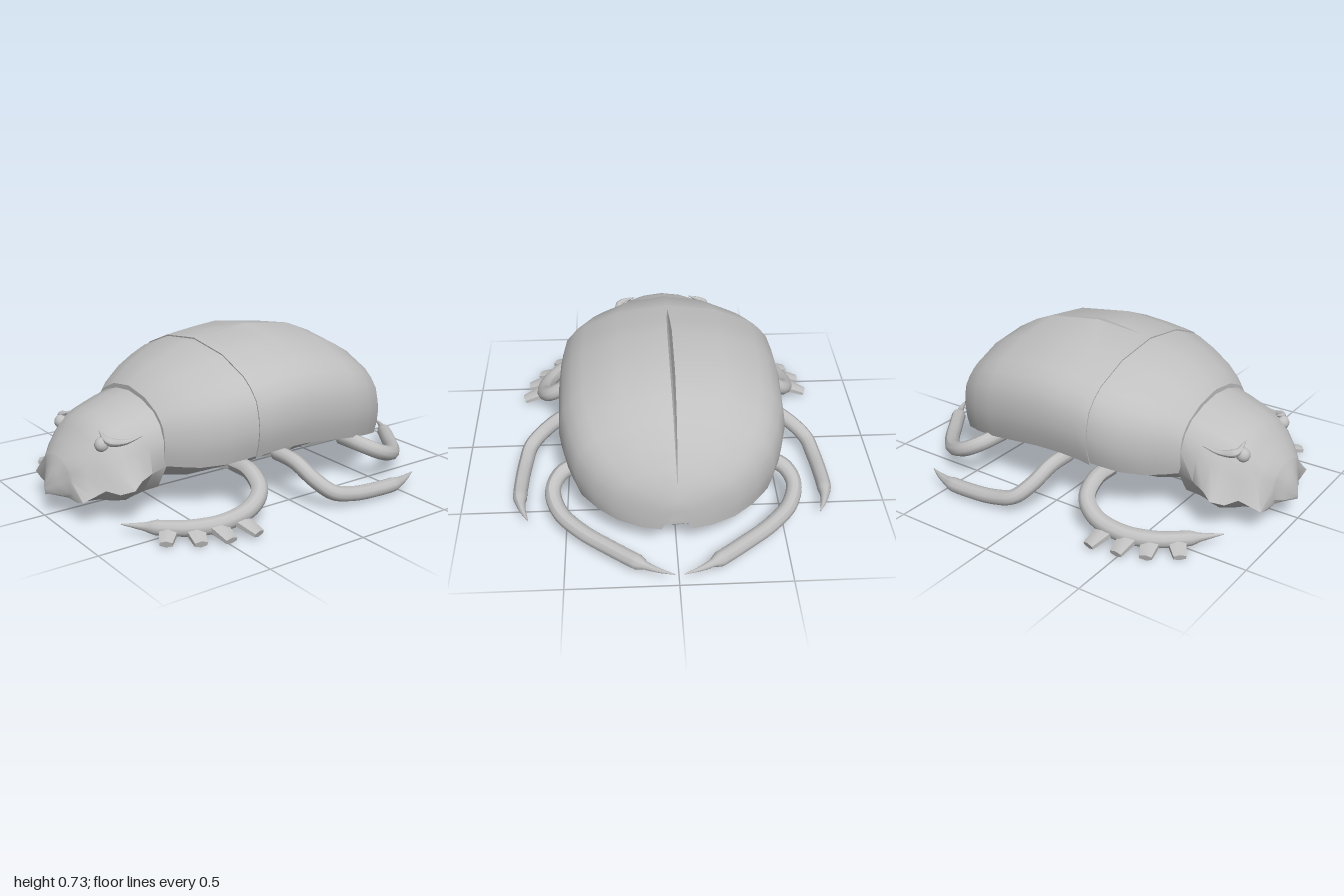
import * as THREE from 'three';
import { toCreasedNormals } from 'three/addons/utils/BufferGeometryUtils.js';

const shellGrey = new THREE.MeshStandardMaterial({ color: 0xc0c0c0, side: THREE.DoubleSide });
shellGrey.name = 'shellGrey';

function addMesh(parent, name, geometry) {
  const mesh = new THREE.Mesh(geometry, shellGrey);
  mesh.name = name;
  parent.add(mesh);
  return mesh;
}

// Skin between cross-sections listed from front to back
function loft(sections, crease = 0.6) {
  const n = sections[0].length, index = [];
  for (let s = 0; s < sections.length - 1; s++) {
    for (let i = 0; i < n - 1; i++) {
      const a = s * n + i, b = a + n;
      index.push(a, b, a + 1, a + 1, b, b + 1);
    }
  }
  const geo = new THREE.BufferGeometry();
  geo.setAttribute('position', new THREE.Float32BufferAttribute(sections.flat(2), 3));
  geo.setIndex(index);
  return toCreasedNormals(geo, crease);
}

// Mirror half a section (given from the +x rim to the middle)
const mirror = half => [...half, ...half.slice(0, -1).reverse().map(([x, y, z]) => [-x, y, z])];

// Every point of a section drawn in to one centre, for closing an end
const pinch = (section, x, y, z) => section.map(() => [x, y, z]);

// Arch profile: fraction of half-width, fraction of height
const ARCH = [[0.95, 0], [0.985, 0.14], [1, 0.3], [0.985, 0.44], [0.95, 0.58], [0.87, 0.69], [0.77, 0.78], [0.45, 0.93]];
const archPoints = (w, bottom, top, z) => ARCH.map(([x, y]) => [x * w, bottom + y * (top - bottom), z]);

// Wing cases, with a narrow groove along the middle
function wingCases() {
  // z, half-width, bottom, top, groove half-width
  const stations = [
    [0.185, 0.49, 0.28, 0.68, 0], [0.19, 0.522, 0.26, 0.715, 0], [0.14, 0.525, 0.27, 0.722, 0],
    [0.03, 0.53, 0.278, 0.735, 0.007], [-0.1, 0.532, 0.275, 0.748, 0.011], [-0.38, 0.522, 0.24, 0.71, 0.011],
    [-0.5, 0.49, 0.22, 0.66, 0.009], [-0.6, 0.445, 0.2, 0.602, 0.007], [-0.68, 0.365, 0.182, 0.525, 0.005],
    [-0.74, 0.275, 0.167, 0.45, 0.002], [-0.78, 0.165, 0.157, 0.385, 0], [-0.802, 0.075, 0.16, 0.325, 0],
  ];
  const sections = stations.map(([z, w, bottom, top, g]) => mirror([
    ...archPoints(w, bottom, top, z), [g, top, z], [0, top - g * 3, z],
  ]));
  sections.push(pinch(sections[0], 0, 0.27, -0.812));
  return loft(sections);
}

// Shield behind the head, closed at the front
function thoraxShield() {
  const stations = [
    [0.55, 0.308, 0.24, 0.542], [0.5, 0.355, 0.238, 0.585], [0.42, 0.418, 0.235, 0.63],
    [0.32, 0.475, 0.245, 0.67], [0.23, 0.508, 0.262, 0.702], [0.18, 0.517, 0.268, 0.71],
  ];
  const sections = stations.map(([z, w, bottom, top]) => mirror([...archPoints(w, bottom, top, z), [0, top, z]]));
  sections.unshift(pinch(sections[0], 0, 0.25, 0.55));
  return loft(sections);
}

// Belly, made of overlapping bands
function belly() {
  // z, half-width, rim height, lowest height
  const keys = [[0.55, 0.3, 0.26, 0.12], [0.4, 0.41, 0.26, 0.095], [0.2, 0.487, 0.28, 0.085], [-0.05, 0.5, 0.29, 0.09],
    [-0.3, 0.495, 0.27, 0.1], [-0.5, 0.455, 0.235, 0.12], [-0.65, 0.365, 0.205, 0.14], [-0.77, 0.18, 0.175, 0.16]];
  const sections = [];
  const add = ([z, w, rim, low], lift) => {
    const half = [[1, 1], [0.87, 0.72], [0.6, 0.33], [0.3, 0.1], [0, 0]]
      .map(([x, y]) => [-x * (w - lift), low + lift + y * (rim - low), z]);
    sections.push(mirror(half));
  };
  keys.forEach((key, i) => {
    if (i > 1) add(key, 0.014);
    add(key, 0);
  });
  const first = sections[0];
  return loft([pinch(first, 0, 0.26, 0.55), ...sections, pinch(first, 0, 0.18, -0.795)]);
}

// Head, with a toothed rim flaring out at the front
function head() {
  // z, rim half-width, rim height, crown half-width, top
  const stations = [
    [0.99, 0.005, 0.13, 0.004, 0.15], [0.955, 0.08, 0.13, 0.07, 0.235], [0.93, 0.14, 0.15, 0.12, 0.28],
    [0.925, 0.235, 0.135, 0.145, 0.288], [0.88, 0.25, 0.155, 0.195, 0.338], [0.83, 0.27, 0.18, 0.23, 0.395],
    [0.79, 0.325, 0.17, 0.255, 0.437], [0.74, 0.366, 0.19, 0.27, 0.46], [0.69, 0.34, 0.215, 0.28, 0.475],
    [0.62, 0.31, 0.225, 0.29, 0.5], [0.54, 0.3, 0.24, 0.3, 0.522],
  ];
  const crown = [[1, 0.42], [0.9, 0.66], [0.72, 0.83], [0.38, 0.95], [0, 1]];
  const sections = stations.map(([z, rimW, rimY, w, top]) => mirror([
    [0, 0.112, z], [rimW * 0.75, 0.118, z], [rimW, rimY, z],
    ...crown.map(([x, y]) => [x * w, rimY + y * (top - rimY), z]),
  ]));
  sections.unshift(pinch(sections[0], 0, 0.125, 0.992));
  return loft(sections, 0.8);
}

// Round limb along a curve; radii are [position along the curve, radius]
function limb(points, radii) {
  const curve = new THREE.CatmullRomCurve3(points.map(p => new THREE.Vector3(...p)));
  const rows = 48, sides = 10;
  const geo = new THREE.TubeGeometry(curve, rows, 1, sides);
  const pos = geo.attributes.position, v = new THREE.Vector3();
  for (let i = 0; i < pos.count; i++) {
    const u = Math.floor(i / (sides + 1)) / rows;
    const k = Math.max(1, radii.findIndex(r => r[0] >= u));
    const [u0, r0] = radii[k - 1], [u1, r1] = radii[k];
    const r = THREE.MathUtils.mapLinear(u, u0, u1, r0, r1);
    const c = curve.getPointAt(u);
    v.fromBufferAttribute(pos, i).sub(c).multiplyScalar(r).add(c);
    pos.setXYZ(i, v.x, v.y, v.z);
  }
  geo.computeVertexNormals();
  return geo;
}

// Flat digging spike with a broad root and a blunt outer edge
function addSpike(parent, from, to) {
  const a = new THREE.Vector3(...from), b = new THREE.Vector3(...to);
  const dir = b.clone().sub(a);
  const geo = new THREE.CylinderGeometry(0.032, 0.05, dir.length(), 6).scale(1, 1, 0.5);
  const spike = addMesh(parent, 'legSpike', toCreasedNormals(geo, 0.6));
  const y = dir.normalize();
  const x = new THREE.Vector3().crossVectors(y, new THREE.Vector3(0, 1, 0)).normalize();
  spike.quaternion.setFromRotationMatrix(new THREE.Matrix4().makeBasis(x, y, x.clone().cross(y)));
  spike.position.copy(a).lerp(b, 0.5);
}

// Legs, brow and eye of the +x side
function sideParts() {
  const side = new THREE.Group();
  addMesh(side, 'frontLeg', limb(
    [[0.4, 0.22, 0.24], [0.51, 0.213, 0.235], [0.6, 0.16, 0.25], [0.643, 0.11, 0.33], [0.637, 0.075, 0.46],
      [0.585, 0.062, 0.59], [0.49, 0.06, 0.71], [0.38, 0.065, 0.825]],
    [[0, 0.038], [0.3, 0.039], [0.6, 0.039], [0.84, 0.034], [0.88, 0.02], [1, 0.002]]));
  [[[0.65, 0.075, 0.395], [0.757, 0.04, 0.37]], [[0.635, 0.065, 0.5], [0.735, 0.035, 0.498]],
    [[0.59, 0.055, 0.585], [0.682, 0.03, 0.615]], [[0.52, 0.055, 0.67], [0.598, 0.03, 0.735]]]
    .forEach(([from, to]) => addSpike(side, from, to));
  addMesh(side, 'middleLeg', limb(
    [[0.4, 0.22, 0.0], [0.52, 0.205, -0.015], [0.62, 0.145, -0.045], [0.688, 0.092, -0.1], [0.71, 0.068, -0.2],
      [0.722, 0.06, -0.34], [0.722, 0.06, -0.46], [0.705, 0.063, -0.54], [0.675, 0.068, -0.62]],
    [[0, 0.036], [0.45, 0.036], [0.8, 0.034], [0.84, 0.024], [1, 0.002]]));
  addMesh(side, 'hindLeg', limb(
    [[0.4, 0.215, -0.4], [0.51, 0.2, -0.43], [0.558, 0.16, -0.51], [0.527, 0.12, -0.62], [0.43, 0.095, -0.725],
      [0.3, 0.083, -0.825], [0.17, 0.078, -0.92], [0.1, 0.08, -0.965], [0.02, 0.082, -1.0]],
    [[0, 0.038], [0.4, 0.037], [0.82, 0.036], [0.85, 0.02], [1, 0.002]]));
  addMesh(side, 'brow', limb(
    [[0.27, 0.395, 0.64], [0.25, 0.375, 0.72], [0.225, 0.385, 0.785], [0.15, 0.415, 0.79]],
    [[0, 0.002], [0.6, 0.02], [1, 0.002]]));
  const eye = addMesh(side, 'eye', new THREE.SphereGeometry(0.034, 16, 12));
  eye.position.set(0.193, 0.365, 0.8);
  return side;
}

export function createModel() {
  const beetle = new THREE.Group();
  beetle.name = 'beetle';
  addMesh(beetle, 'wingCases', wingCases());
  addMesh(beetle, 'thoraxShield', thoraxShield());
  addMesh(beetle, 'belly', belly());
  addMesh(beetle, 'head', head());
  const left = sideParts(), right = sideParts();
  left.name = 'leftLegsAndFace';
  right.name = 'rightLegsAndFace';
  right.scale.x = -1;
  beetle.add(left, right);
  return beetle;
}
